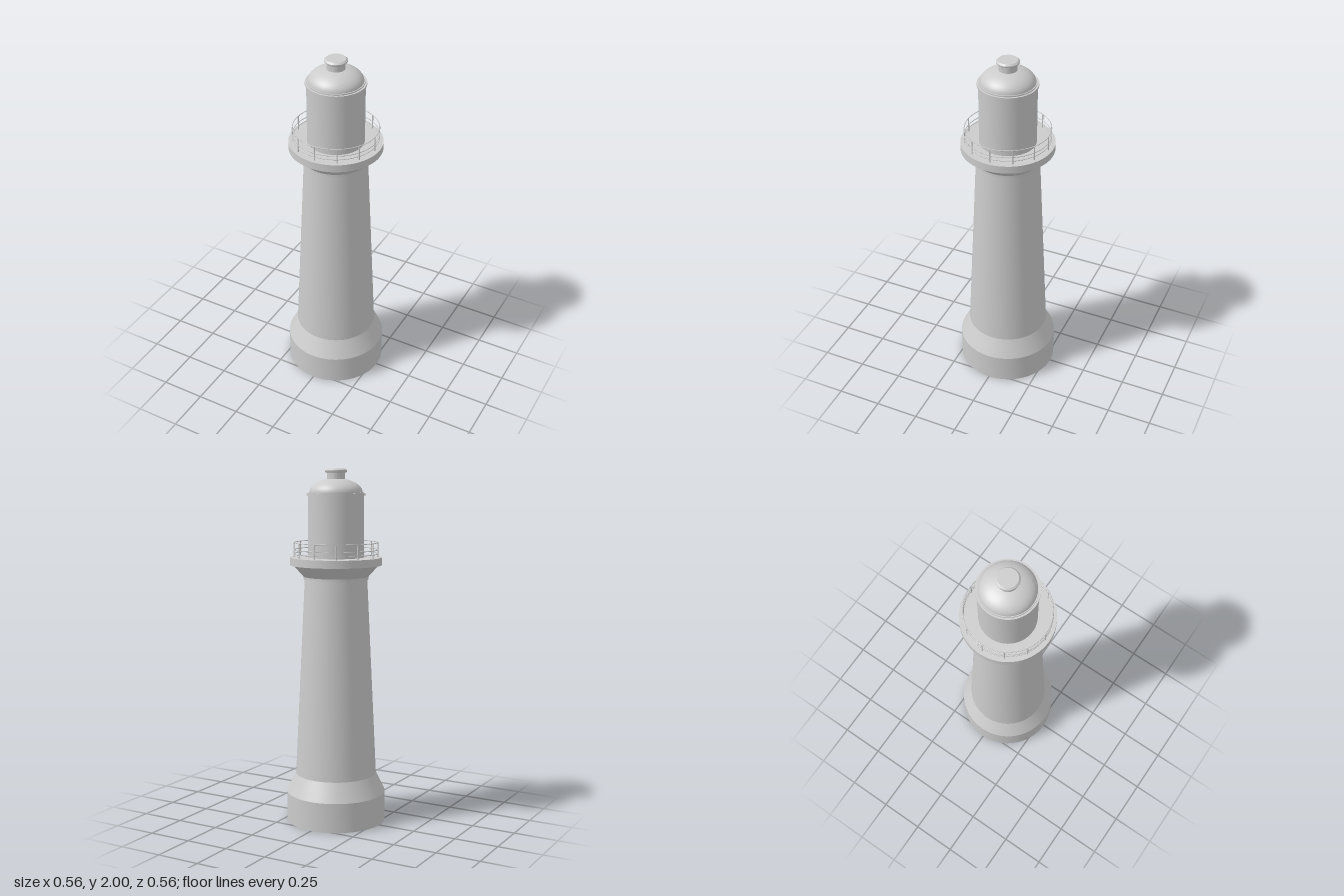
import * as THREE from 'three';
import { toCreasedNormals } from 'three/addons/utils/BufferGeometryUtils.js';

const material = new THREE.MeshStandardMaterial({ color: 0xcccccc });
const SEGMENTS = 64;

// Revolves a bottom-to-top [radius, height] profile, keeping its edges crisp
function turned(name, profile) {
  const points = profile.map(([r, y]) => new THREE.Vector2(r, y));
  const geometry = toCreasedNormals(new THREE.LatheGeometry(points, SEGMENTS), 0.35);
  const mesh = new THREE.Mesh(geometry, material);
  mesh.name = name;
  return mesh;
}

function createRailing(radius, bottom, top) {
  const railing = new THREE.Group();
  railing.name = 'railing';

  // Horizontal rails
  const heights = [bottom + 0.02, bottom + 0.042, top];
  heights.forEach((y, i) => {
    const rail = new THREE.Mesh(new THREE.TorusGeometry(radius, 0.0025, 6, SEGMENTS), material);
    rail.name = `rail${i + 1}`;
    rail.rotation.x = Math.PI / 2;
    rail.position.y = y;
    railing.add(rail);
  });

  // Evenly spaced posts
  const postGeometry = new THREE.CylinderGeometry(0.0035, 0.0035, top - bottom, 8);
  for (let i = 0; i < 12; i++) {
    const a = (i / 12) * Math.PI * 2;
    const post = new THREE.Mesh(postGeometry, material);
    post.name = `railingPost${i + 1}`;
    post.position.set(Math.cos(a) * radius, (bottom + top) / 2, Math.sin(a) * radius);
    railing.add(post);
  }
  return railing;
}

export function createModel() {
  const lighthouse = new THREE.Group();
  lighthouse.name = 'lighthouse';

  // Drum base with sloped shoulder
  lighthouse.add(turned('base', [[0, 0], [0.282, 0], [0.282, 0.168], [0.23, 0.275], [0, 0.275]]));

  // Tapering tower shaft
  lighthouse.add(turned('shaft', [[0.23, 0.275], [0.175, 1.4]]));

  // Flared bracket and gallery deck
  lighthouse.add(turned('galleryBracket', [[0.172, 1.39], [0.182, 1.39], [0.182, 1.405], [0.24, 1.47]]));
  lighthouse.add(turned('galleryDeck', [[0.17, 1.47], [0.257, 1.47], [0.257, 1.513], [0, 1.513]]));
  lighthouse.add(createRailing(0.234, 1.513, 1.595));

  // Lantern room and its eave
  lighthouse.add(turned('lanternRoom', [[0.156, 1.51], [0.156, 1.857]]));
  lighthouse.add(turned('eave', [[0.15, 1.855], [0.163, 1.855], [0.163, 1.866], [0.153, 1.866], [0.153, 1.873], [0, 1.873]]));

  // Domed roof
  const dome = [];
  for (let i = 0; i <= 12; i++) {
    const a = (i / 12) * Math.PI / 2;
    dome.push([0.148 * Math.cos(a), 1.87 + 0.079 * Math.sin(a)]);
  }
  dome[12][0] = 0;
  lighthouse.add(turned('dome', dome));

  // Vent on top of the dome
  lighthouse.add(turned('ventNeck', [[0.05, 1.935], [0.05, 1.985]]));
  lighthouse.add(turned('ventCap', [[0, 1.98], [0.056, 1.98], [0.062, 1.986], [0.062, 1.992], [0.053, 2], [0, 2]]));

  return lighthouse;
}
